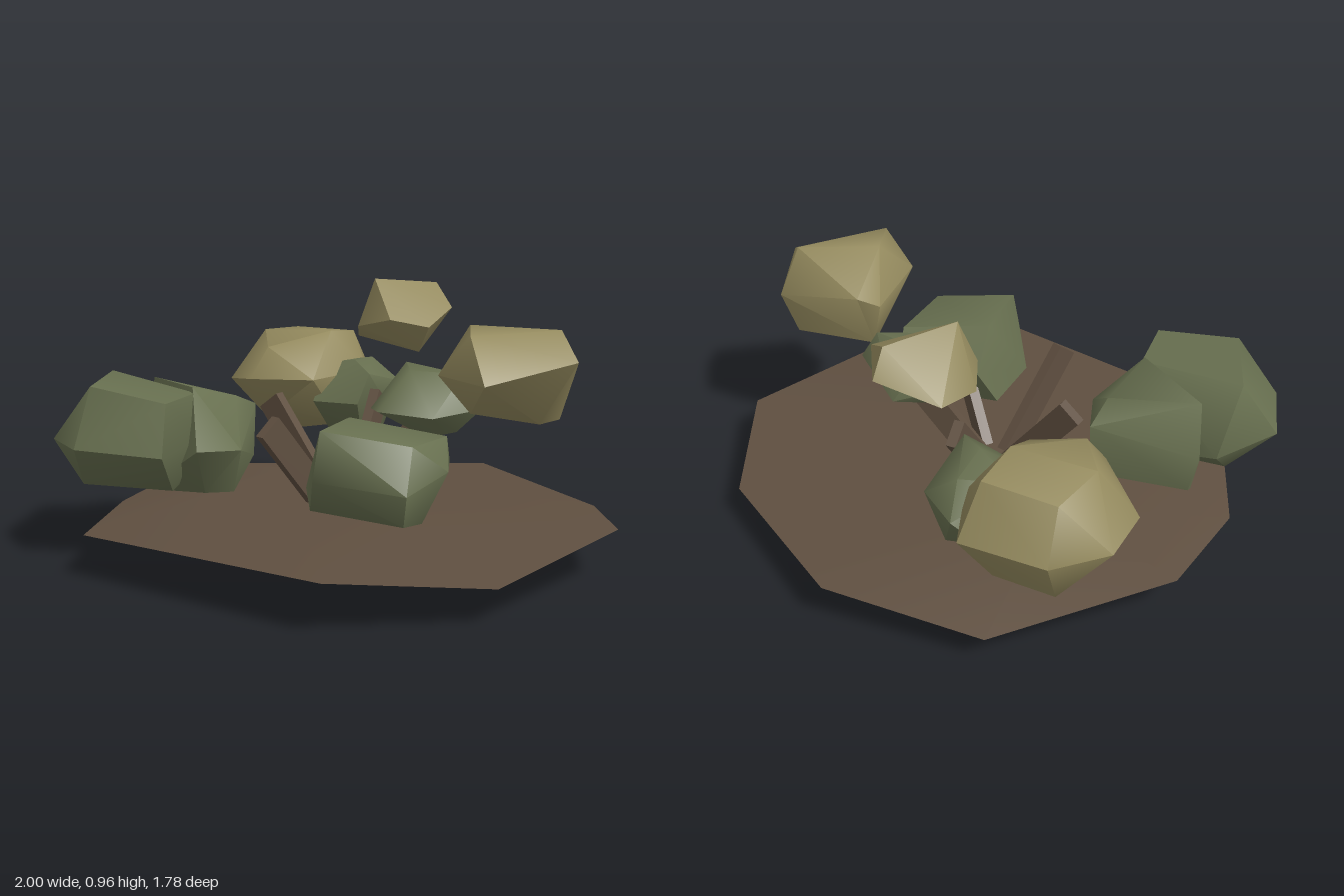
import * as THREE from 'three';
import { toCreasedNormals } from 'three/addons/utils/BufferGeometryUtils.js';
import { ConvexGeometry } from 'three/addons/geometries/ConvexGeometry.js';

const mat = (name, color) => new THREE.MeshStandardMaterial({ name, color });

// Chunky foliage clump: hull around a crown, a girdle and a base cross-section
function clumpGeometry(crown, girdle, base) {
  const points = [...crown, ...girdle, ...base].map((p) => new THREE.Vector3(...p));
  return toCreasedNormals(new ConvexGeometry(points), 0.9);
}

// One face of the ground slab: a fan from an off-centre peak to the rim
function fanGeometry(peak, rim, up) {
  const geo = new THREE.BufferGeometry();
  geo.setAttribute('position', new THREE.Float32BufferAttribute([peak, ...rim].flat(), 3));
  const index = [];
  const n = rim.length;
  for (let i = 0; i < n; i++) {
    const a = 1 + i, b = 1 + (i + 1) % n;
    index.push(0, ...(up ? [b, a] : [a, b]));
  }
  geo.setIndex(index);
  geo.computeVertexNormals();
  return geo;
}

export function createModel() {
  const group = new THREE.Group();
  const brown = mat('bark brown', 0x5f4f40);
  const green = mat('leaf green', 0x687050);
  const straw = mat('dry yellow', 0x948a5e);

  const add = (name, geo, material) => {
    const mesh = new THREE.Mesh(geo, material);
    mesh.name = name;
    group.add(mesh);
    return mesh;
  };

  // Ground slab: irregular nine-sided rim, thin wedge edges
  const rim = [
    [-0.25, 0.105, -0.84], [0.33, 0.15, -0.83], [0.85, 0.12, -0.42],
    [1.0, 0.17, 0.04], [0.72, 0.12, 0.64], [0.23, 0.165, 0.89],
    [-0.73, 0.145, 0.61], [-0.89, 0.1, 0.02], [-0.79, 0.155, -0.42],
  ];
  add('groundTop', fanGeometry([-0.3, 0.215, -0.25], rim, true), brown);
  add('groundUnderside', fanGeometry([0.54, 0.05, 0.38], rim, false), brown);

  // Flat branches crossing at the root, broad side upright
  const tips = [
    [-0.315, 0.515, -0.09], [-0.17, 0.5, 0.31], [0.03, 0.51, -0.33],
    [0.26, 0.45, -0.04], [0.22, 0.38, 0.27],
  ];
  tips.forEach(([x, y, z], i) => {
    const heading = Math.atan2(x, z);
    const root = new THREE.Vector3(Math.sin(heading) * -0.035, 0.03, Math.cos(heading) * -0.035);
    const tip = new THREE.Vector3(x, y, z);
    const branch = add('branch' + (i + 1),
      new THREE.BoxGeometry(0.038, 0.095, root.distanceTo(tip)), brown);
    branch.position.copy(root).lerp(tip, 0.5);
    branch.lookAt(tip);
  });

  // Dry foliage
  add('dryClumpBack', clumpGeometry(
    [[-0.54, 0.7, -0.6], [-0.47, 0.69, -0.79], [-0.21, 0.69, -0.75], [-0.25, 0.71, -0.58], [-0.45, 0.66, -0.4]],
    [[-0.47, 0.52, -0.89], [-0.16, 0.5, -0.84], [-0.12, 0.55, -0.64], [-0.235, 0.55, -0.33],
      [-0.5, 0.54, -0.33], [-0.67, 0.5, -0.54], [-0.64, 0.52, -0.76]],
    [[-0.47, 0.32, -0.79], [-0.25, 0.32, -0.76], [-0.2, 0.34, -0.55], [-0.4, 0.3, -0.59],
      [-0.55, 0.36, -0.58], [-0.4, 0.42, -0.38]],
  ), straw);
  add('dryClumpTop', clumpGeometry(
    [[0.02, 0.955, -0.31], [0.21, 0.93, -0.49]],
    [[0.3, 0.85, -0.38], [0.22, 0.84, -0.56], [-0.01, 0.78, -0.55], [-0.06, 0.73, -0.36],
      [-0.03, 0.78, -0.26], [0.12, 0.82, -0.18], [0.25, 0.79, -0.24]],
    [[0.19, 0.685, -0.32]],
  ), straw);
  add('dryClumpLeft', clumpGeometry(
    [[0.51, 0.87, 0.2], [0.8, 0.855, 0.12], [0.55, 0.855, 0.36]],
    [[0.88, 0.77, 0.25], [0.83, 0.71, 0.01], [0.51, 0.77, -0.02], [0.44, 0.73, 0.02],
      [0.44, 0.72, 0.34], [0.62, 0.71, 0.45]],
    [[0.79, 0.54, 0.05], [0.47, 0.57, 0.02], [0.75, 0.55, 0.2], [0.55, 0.6, 0.34]],
  ), straw);

  // Green foliage
  add('leafClumpBack', clumpGeometry(
    [[-0.12, 0.61, -0.5], [-0.1, 0.6, -0.66], [-0.03, 0.575, -0.4], [-0.28, 0.58, -0.6]],
    [[0.02, 0.51, -0.65], [-0.11, 0.5, -0.76], [-0.2, 0.42, -0.74], [0, 0.46, -0.5],
      [-0.065, 0.46, -0.36], [-0.25, 0.46, -0.37]],
    [[-0.05, 0.32, -0.65], [-0.08, 0.335, -0.45], [-0.25, 0.32, -0.55]],
  ), green);
  add('leafClumpLeft', clumpGeometry(
    [[0.2, 0.68, -0.12], [0.43, 0.66, -0.04], [0.25, 0.67, 0]],
    [[0.29, 0.53, -0.25], [0.5, 0.54, -0.03], [0.37, 0.53, 0.14], [0.17, 0.54, 0.13],
      [0.11, 0.53, 0.02], [0.12, 0.53, -0.11]],
    [[0.3, 0.42, -0.05], [0.2, 0.47, -0.14], [0.42, 0.46, 0]],
  ), green);
  add('leafClumpFront', clumpGeometry(
    [[0.12, 0.55, 0.29], [0.1, 0.55, 0.53], [0.4, 0.51, 0.49], [0.45, 0.5, 0.25]],
    [[0.12, 0.41, 0.16], [0.44, 0.4, 0.17], [0.49, 0.41, 0.38], [0.41, 0.37, 0.59],
      [0.09, 0.39, 0.575], [0, 0.32, 0.39]],
    [[0.4, 0.225, 0.37], [0.05, 0.27, 0.49], [0.06, 0.27, 0.21], [0.38, 0.25, 0.52], [0.37, 0.25, 0.22]],
  ), green);
  add('leafClumpRight', clumpGeometry(
    [[-0.87, 0.625, 0.1], [-0.8, 0.62, 0.4], [-0.49, 0.58, 0.2], [-0.5, 0.58, 0.42]],
    [[-1, 0.4, 0.17], [-0.96, 0.42, 0.39], [-0.8, 0.42, 0.53], [-0.49, 0.4, 0.48],
      [-0.46, 0.42, 0.16], [-0.83, 0.43, -0.08]],
    [[-0.54, 0.24, 0.3], [-0.84, 0.265, 0.1], [-0.84, 0.265, 0.4], [-0.55, 0.27, 0.1]],
  ), green);
  add('leafClumpInner', clumpGeometry(
    [[-0.75, 0.59, 0], [-0.5, 0.6, 0.2], [-0.42, 0.54, 0]],
    [[-0.78, 0.45, -0.13], [-0.39, 0.49, -0.12], [-0.32, 0.38, 0.19], [-0.42, 0.4, 0.35],
      [-0.4, 0.29, -0.12], [-0.75, 0.31, -0.13]],
    [[-0.39, 0.2, 0.1], [-0.74, 0.215, 0], [-0.7, 0.21, 0.2], [-0.45, 0.22, 0.22]],
  ), green);

  return group;
}
